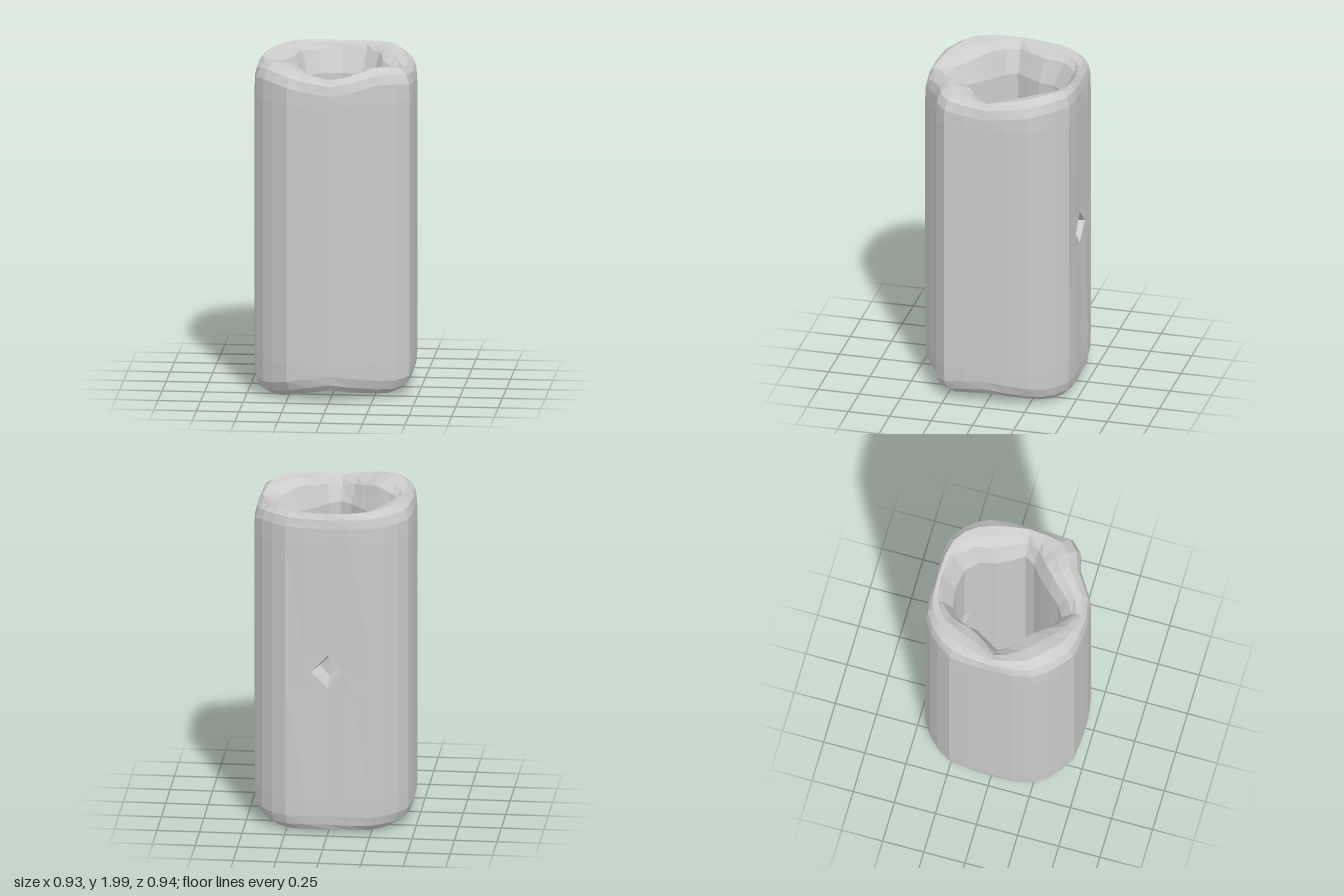
import * as THREE from 'three';

// Plan outlines as [x, z], from +x round through +z; every 7th point is a side's middle
const outer = [
  [.465, 0], [.465, .13], [.455, .25], [.385, .315], [.28, .345], [.2, .4], [.12, .45],
  [0, .468], [-.13, .465], [-.25, .45], [-.34, .385], [-.4, .33], [-.45, .25], [-.468, .13],
  [-.468, 0], [-.468, -.13], [-.455, -.25], [-.4, -.335], [-.335, -.4], [-.25, -.455], [-.13, -.47],
  [0, -.465], [.13, -.468], [.25, -.455], [.335, -.4], [.4, -.335], [.45, -.25], [.465, -.13],
];
const inner = [
  [.305, 0], [.27, .06], [.235, .09], [.2, .12], [.16, .16], [.12, .2], [.065, .265],
  [0, .305], [-.065, .265], [-.12, .2], [-.16, .16], [-.2, .12], [-.235, .09], [-.27, .06],
  [-.305, 0], [-.26, -.07], [-.215, -.15], [-.205, -.2], [-.19, -.25], [-.155, -.285], [-.12, -.32],
  [0, -.34], [.12, -.32], [.155, -.285], [.19, -.25], [.205, -.2], [.215, -.15], [.26, -.07],
];
// Height of the wavy rim at side middles and corners
const rimHeights = [1.935, 1.985, 1.93, 2, 1.975, 1.985, 1.975, 1.985];
const N = outer.length, BACK = 21;

function rimHeight(i) {
  const k = i / 3.5, a = Math.floor(k);
  return THREE.MathUtils.lerp(rimHeights[a], rimHeights[(a + 1) % 8], k - a);
}

// Upper half of the wall section: t runs from outer wall (0) to flared mouth (1);
// y is fixed, or drop is measured down from the rim
const section = [
  { t: 0, y: 1 }, { t: 0, y: 1.1 }, { t: 0, y: 1.78 }, { t: .02, drop: .09 },
  { t: .13, drop: .035 }, { t: .38, drop: 0 }, { t: .7, drop: .012 }, { t: 1, drop: .045 },
  { bore: true, y: 1.8 }, { bore: true, y: 1.06 }, { bore: true, y: 1 },
];
const LAST = section.length - 1, LOOPS = LAST * 2;

function wallPoint(j, i) {
  const lower = j > LAST, s = section[lower ? LOOPS - j : j];
  let [x, z] = inner[i];
  if (!s.bore) {
    x = THREE.MathUtils.lerp(outer[i][0], x * 1.2, s.t);
    z = THREE.MathUtils.lerp(outer[i][1], z * 1.2, s.t);
  }
  // Corners of the diamond-shaped hole in the back
  if (s.y === 1 && Math.abs(i - BACK) === 1) x = Math.sign(x) * (s.bore ? .06 : .1);
  if (!s.bore && s.y <= 1.1 && Math.abs(i - BACK) < 2) z += .012;
  const y = s.y ?? rimHeight(i) - s.drop;
  return [x, lower ? 2 - y : y, z];
}

function meshFrom(name, positions, indices) {
  const g = new THREE.BufferGeometry();
  g.setAttribute('position', new THREE.Float32BufferAttribute(positions, 3));
  g.setIndex(indices);
  const flat = g.toNonIndexed();
  flat.computeVertexNormals();
  const mesh = new THREE.Mesh(flat, new THREE.MeshStandardMaterial({ color: 0xcccccc, flatShading: true }));
  mesh.name = name;
  return mesh;
}

export function createModel() {
  const group = new THREE.Group();
  group.name = 'hollowBead';
  const id = (j, i) => ((j + LOOPS) % LOOPS) * N + (i % N);
  const positions = [];
  for (let j = 0; j < LOOPS; j++) for (let i = 0; i < N; i++) positions.push(...wallPoint(j, i));

  // Tube wall: closed loops outside, over the rims and through the bore;
  // leaving out the two hole centres opens a diamond on each side of the back
  const holes = [id(0, BACK), id(LAST, BACK)];
  const wall = [];
  for (let j = 0; j < LOOPS; j++) for (let i = 0; i < N; i++) {
    const f = [id(j, i), id(j + 1, i), id(j + 1, i + 1), id(j, i + 1)].filter(v => !holes.includes(v));
    wall.push(f[0], f[1], f[2]);
    if (f.length === 4) wall.push(f[0], f[2], f[3]);
  }
  group.add(meshFrom('tubeWall', positions, wall));

  // Sides of the small hole through the back wall
  const out = [id(0, BACK - 1), id(1, BACK), id(0, BACK + 1), id(-1, BACK)];
  const into = [id(LAST, BACK - 1), id(LAST - 1, BACK), id(LAST, BACK + 1), id(LAST + 1, BACK)];
  const tunnel = [];
  for (let k = 0; k < 4; k++) {
    const m = (k + 1) % 4;
    tunnel.push(out[k], out[m], into[m], out[k], into[m], into[k]);
  }
  group.add(meshFrom('backHole', positions, tunnel));
  return group;
}
